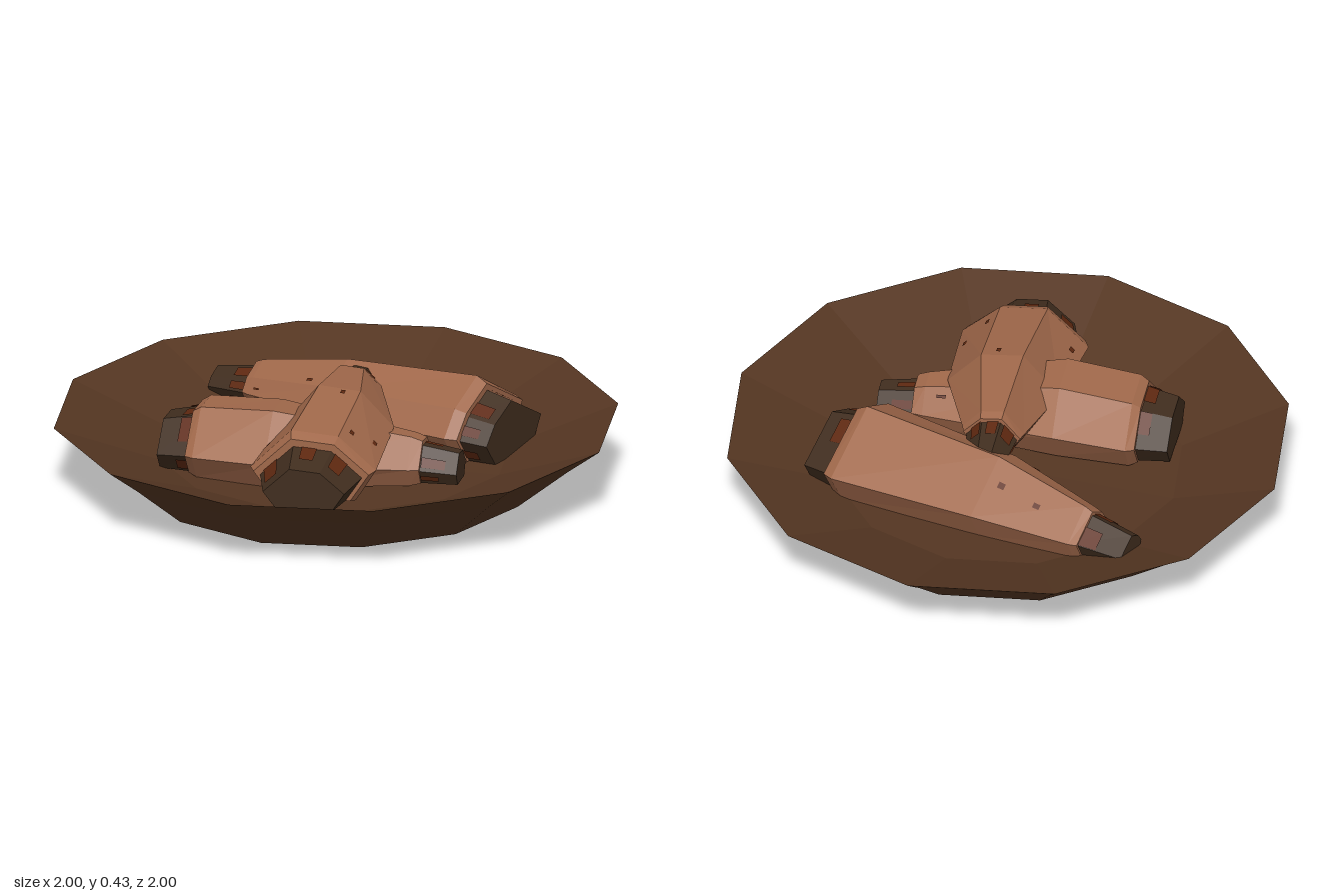
import * as THREE from 'three';

const mat = (name, color) => {
  const m = new THREE.MeshStandardMaterial({ color, flatShading: true });
  m.name = name;
  return m;
};

// Small seeded generator for scattering the patches
function seeded(seed) {
  let s = seed;
  return (min, max) => {
    s = (s * 16807) % 2147483647;
    return min + (max - min) * (s / 2147483647);
  };
}

function meshGeometry(points) {
  const g = new THREE.BufferGeometry().setFromPoints(points);
  g.computeVertexNormals();
  return g;
}

// Six-sided cross-section across the axis; crown holds the two upper corners
function ring({ x, z, w, bottom, top }, dir, crown) {
  const section = [[-1, 0.47], ...crown, [1, 0.4], [0.68, 0], [-0.68, 0]];
  return section.map(([s, h]) => new THREE.Vector3(
    x - dir.y * s * w, bottom + h * (top - bottom), z + dir.x * s * w));
}

// Faceted skin over a row of rings, closed at both ends
function loft(rings) {
  const points = [];
  const n = rings[0].length, first = rings[0], last = rings[rings.length - 1];
  for (let i = 0; i < rings.length - 1; i++) {
    for (let k = 0; k < n; k++) {
      const a = rings[i][k], c = rings[i][(k + 1) % n];
      const b = rings[i + 1][k], e = rings[i + 1][(k + 1) % n];
      points.push(a, c, b, b, c, e);
    }
  }
  for (let k = 1; k < n - 1; k++) {
    points.push(first[0], first[k + 1], first[k], last[0], last[k], last[k + 1]);
  }
  return meshGeometry(points);
}

// Thin patch on panel k between two rings; t runs along, q across
function patch(from, to, k, t, q, length, width) {
  const at = (u, v) => from[k].clone().lerp(to[k], u)
    .lerp(from[k + 1].clone().lerp(to[k + 1], u), v);
  const p = [at(t, q), at(t, q + width), at(t + length, q + width), at(t + length, q)];
  const normal = p[1].clone().sub(p[0]).cross(p[3].clone().sub(p[0])).normalize();
  p.forEach(v => v.addScaledVector(normal, 0.005));
  return meshGeometry([p[0], p[1], p[3], p[3], p[1], p[2]]);
}

// Station moved along the axis and shrunk towards its own underside
const shifted = (s, dir, distance, scale) => ({
  x: s.x + dir.x * distance,
  z: s.z + dir.y * distance,
  w: s.w * scale,
  bottom: s.bottom + 0.01,
  top: s.bottom + (s.top - s.bottom) * scale,
});

export function createModel() {
  const model = new THREE.Group();
  const bowlMat = mat('darkWood', 0x553622);
  const wrapMat = mat('wrapTan', 0xa0684a);
  const endMat = mat('charredBrown', 0x402d1e);
  const rustMat = mat('rustBrown', 0x5e2810);
  rustMat.side = THREE.DoubleSide;
  const random = seeded(4242);

  const add = (parent, name, geometry, material) => {
    const m = new THREE.Mesh(geometry, material);
    m.name = name;
    parent.add(m);
  };

  // Twelve-sided shallow bowl: outside wall up to the rim, then the inside
  const profile = [[0, 0], [0.69, 0], [0.88, 0.155], [1, 0.245], [0.62, 0.11], [0, 0.085]];
  add(model, 'bowl', new THREE.LatheGeometry(
    profile.map(([r, y]) => new THREE.Vector2(r, y)), 12), bowlMat);

  // Each roll: three body stations, and the [length, taper] of both fillings
  const ridged = [[0.08, 1], [0.7, 0.72]];
  const broad = [[-0.4, 0.95], [0.35, 1]];
  const rolls = [
    {
      name: 'backRoll', crown: ridged, tail: [0.19, 0.65], head: [0.14, 0.76],
      stations: [
        { x: -0.56, z: -0.115, w: 0.115, bottom: 0.11, top: 0.275 },
        { x: -0.22, z: -0.23, w: 0.19, bottom: 0.1, top: 0.35 },
        { x: 0.27, z: -0.43, w: 0.24, bottom: 0.1, top: 0.385 }],
    },
    {
      name: 'frontRoll', crown: broad, tail: [0.14, 0.74], head: [0.17, 0.7],
      stations: [
        { x: -0.19, z: 0.43, w: 0.22, bottom: 0.11, top: 0.345 },
        { x: 0.03, z: 0.28, w: 0.22, bottom: 0.1, top: 0.36 },
        { x: 0.39, z: -0.045, w: 0.105, bottom: 0.11, top: 0.28 }],
    },
    {
      name: 'topRoll', crown: broad, tail: [0.17, 0.6], head: [0.17, 0.65],
      stations: [
        { x: -0.04, z: -0.1, w: 0.11, bottom: 0.25, top: 0.4 },
        { x: 0.17, z: 0.12, w: 0.2, bottom: 0.17, top: 0.43 },
        { x: 0.39, z: 0.4, w: 0.225, bottom: 0.14, top: 0.385 }],
    },
  ];

  for (const { name, crown, tail, head, stations } of rolls) {
    const roll = new THREE.Group();
    roll.name = name;
    model.add(roll);
    const [a, , b] = stations;
    const dir = new THREE.Vector2(b.x - a.x, b.z - a.z).normalize();
    const make = s => ring(s, dir, crown);

    // Wrapped body with a narrowed shoulder at each end
    const body = [shifted(a, dir, -0.03, 0.92), ...stations, shifted(b, dir, 0.04, 0.92)].map(make);
    add(roll, 'wrap', loft(body), wrapMat);

    // Fillings emerge from inside the shoulders and taper outwards
    const tailRings = [shifted(a, dir, -tail[0], tail[1]), shifted(a, dir, 0, 0.86)].map(make);
    const headRings = [shifted(b, dir, 0, 0.86), shifted(b, dir, head[0], head[1])].map(make);
    add(roll, 'tailFilling', loft(tailRings), endMat);
    add(roll, 'headFilling', loft(headRings), endMat);

    // Rust patches: a wide one by the wrap and a few blots on each panel
    for (let k = 0; k < 4; k++) {
      add(roll, 'saucePatch', patch(...tailRings, k, 0.5, random(0, 0.4), 0.45, 0.6), rustMat);
      add(roll, 'saucePatch', patch(...headRings, k, 0.25, random(0, 0.5), random(0.3, 0.6), 0.4), rustMat);
    }

    // Small specks on the wrap near the narrow end
    for (let i = 0; i < 4; i++) {
      const near = name === 'backRoll' ? 1 : 2;
      add(roll, 'speck', patch(body[near], body[near + 1], i % 3,
        random(0.05, 0.85), random(0.1, 0.8), 0.07, 0.1), rustMat);
    }
  }
  return model;
}
